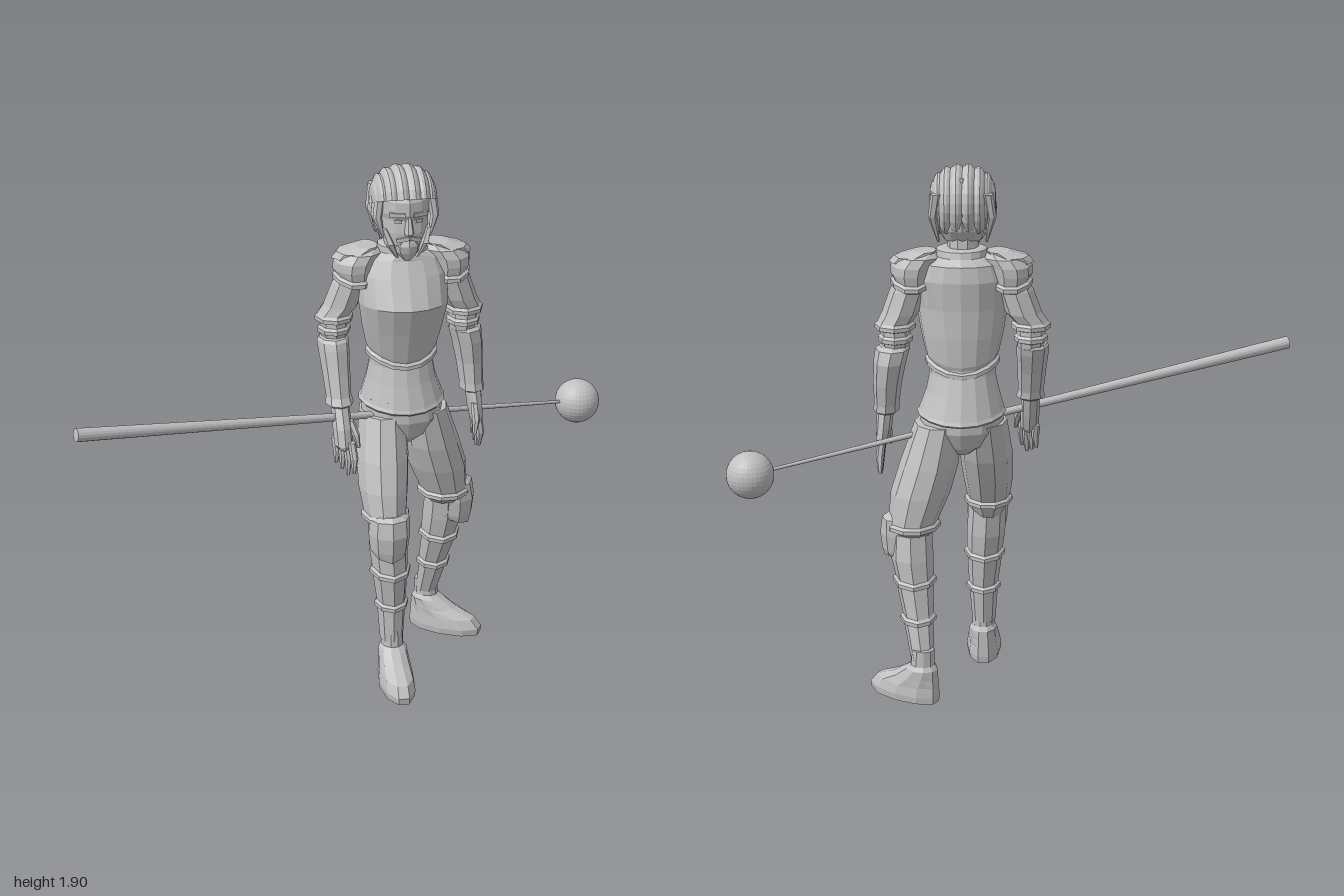
import * as THREE from 'three';

const steel = new THREE.MeshStandardMaterial({ color: 0xc0c0c0, flatShading: true, side: THREE.DoubleSide });
steel.name = 'plain grey';

const CX = 0.185; // middle of the body

// Closed skin over horizontal rings, listed from top to bottom.
// Ring: [y, centre x, centre z, radius x, radius z, dip at front and back]
function loft(name, rings, sides = 8, yaw = 0) {
  const pos = [], index = [], c = Math.cos(yaw), s = Math.sin(yaw);
  for (const [y, x, z, rx, rz, dip = 0] of rings) {
    for (let j = 0; j < sides; j++) {
      const a = (j / sides) * Math.PI * 2;
      const px = rx * Math.cos(a), pz = rz * Math.sin(a);
      pos.push(x + px * c + pz * s, y - dip * Math.sin(a) ** 2, z - px * s + pz * c);
    }
  }
  const last = rings.length - 1, top = pos.length / 3;
  pos.push(rings[0][1], rings[0][0], rings[0][2]);
  pos.push(rings[last][1], rings[last][0], rings[last][2]);
  for (let j = 0; j < sides; j++) {
    const k = (j + 1) % sides, e = last * sides;
    for (let i = 0; i < last; i++) {
      const a = i * sides, b = a + sides;
      index.push(a + j, a + k, b + j, a + k, b + k, b + j);
    }
    index.push(top, k, j, top + 1, e + j, e + k);
  }
  const g = new THREE.BufferGeometry();
  g.setAttribute('position', new THREE.Float32BufferAttribute(pos, 3));
  g.setIndex(index);
  g.computeVertexNormals();
  return mesh(name, g);
}

function mesh(name, geometry, x = 0, y = 0, z = 0) {
  const m = new THREE.Mesh(geometry, steel);
  m.name = name;
  m.position.set(x, y, z);
  return m;
}

// Raised band made of three rings
const rim = (y, x, z, rx, rz, dip = 0, out = 0.009) => [
  [y + 0.013, x, z, rx, rz, dip],
  [y + 0.004, x, z, rx + out, rz + out, dip],
  [y - 0.010, x, z, rx + out, rz + out, dip],
  [y - 0.014, x, z, rx - 0.002, rz - 0.002, dip],
];

// Tapered finger with one bend, between two points
function finger(name, a, b, r) {
  const mid = a.map((v, i) => v * 0.5 + b[i] * 0.5);
  const ring = ([x, y, z], k) => [y, x, z, r * k, r * k];
  return loft(name, [ring(a, 1), ring([mid[0] + 0.004, mid[1], mid[2] + 0.006], 1), ring(b, 0.45)], 6);
}

function makeHead() {
  const g = new THREE.Group();
  g.name = 'head';
  g.add(loft('neck', [[1.68, 0.18, -0.06, 0.052, 0.055], [1.60, 0.18, -0.065, 0.055, 0.058], [1.54, CX, -0.075, 0.075, 0.07]], 10));
  g.add(loft('skull', [
    [1.87, 0.18, -0.05, 0.055, 0.075], [1.80, 0.18, -0.045, 0.092, 0.112], [1.755, 0.18, -0.045, 0.092, 0.115],
    [1.735, 0.18, -0.047, 0.09, 0.107], [1.69, 0.18, -0.04, 0.086, 0.105], [1.65, 0.18, -0.025, 0.072, 0.088],
    [1.615, 0.18, -0.005, 0.045, 0.055],
  ], 12));
  // face details
  g.add(loft('nose', [[1.752, 0.18, 0.055, 0.008, 0.012], [1.695, 0.18, 0.062, 0.017, 0.03], [1.682, 0.18, 0.055, 0.014, 0.02]], 6));
  for (const s of [-1, 1]) {
    const brow = mesh('brow', new THREE.BoxGeometry(0.055, 0.014, 0.022), 0.18 + s * 0.038, 1.758, 0.052);
    brow.rotation.y = s * 0.35;
    const eye = mesh('eye', new THREE.BoxGeometry(0.026, 0.011, 0.008), 0.18 + s * 0.036, 1.733, 0.052);
    eye.rotation.y = s * 0.35;
    g.add(brow, eye);
    const moustache = mesh('moustache', new THREE.BoxGeometry(0.045, 0.013, 0.02), 0.18 + s * 0.02, 1.672, 0.06);
    moustache.rotation.set(0, s * 0.3, -s * 0.25);
    g.add(moustache);
    g.add(loft('ear', [[1.755, 0.18 + s * 0.093, -0.05, 0.01, 0.02], [1.73, 0.18 + s * 0.098, -0.05, 0.012, 0.024], [1.69, 0.18 + s * 0.088, -0.04, 0.008, 0.01]], 6));
    // hair hanging at the temples, behind the ears and along the jaw
    for (const [z, low, r] of [[0.01, 1.67, 0.016], [-0.025, 1.655, 0.016], [-0.085, 1.67, 0.026], [-0.12, 1.65, 0.028]]) {
      g.add(loft('sideLock', [[1.82, 0.18 + s * 0.088, z - 0.01, 0.018, r], [1.74, 0.18 + s * 0.1, z, 0.016, r],
        [low, 0.18 + s * 0.082, z + 0.012, 0.004, 0.005]], 6));
    }
    g.add(loft('jawBeard', [[1.70, 0.18 + s * 0.078, 0.005, 0.012, 0.03], [1.65, 0.18 + s * 0.06, 0.025, 0.018, 0.032], [1.60, 0.18 + s * 0.035, 0.03, 0.006, 0.012]], 6));
  }
  g.add(loft('beard', [[1.665, 0.18, 0.035, 0.028, 0.03], [1.645, 0.18, 0.035, 0.045, 0.036], [1.62, 0.18, 0.035, 0.04, 0.03], [1.59, 0.18, 0.04, 0.012, 0.01]], 8));

  // ridged hair cap: eight locks swept from forehead to nape
  const locks = 8, cols = locks * 4, rows = 14;
  const cap = new THREE.PlaneGeometry(2, 1, cols, rows), p = cap.attributes.position;
  for (let i = 0; i < p.count; i++) {
    const u = p.getX(i), v = p.getY(i) + 0.5;
    const beta = u * 1.5;
    const ridge = 0.93 + 0.09 * Math.abs(Math.sin((u + 1) * 0.5 * locks * Math.PI));
    const phi = 0.32 + v * 3.75;
    const k = Math.cos(beta) ** 0.6 * ridge;
    p.setXYZ(i, 0.18 + 0.113 * Math.sin(beta) * (0.97 + 0.03 * ridge),
      1.775 + 0.128 * Math.sin(phi) * k, -0.045 + 0.124 * Math.cos(phi) * k);
  }
  cap.computeVertexNormals();
  g.add(mesh('hair', cap));
  return g;
}

function makeTorso() {
  const g = new THREE.Group();
  g.name = 'torso';
  g.add(loft('breastplate', [
    [1.625, CX, -0.07, 0.075, 0.07], [1.62, CX, -0.07, 0.088, 0.08], [1.598, CX, -0.072, 0.09, 0.085],
    [1.575, CX, -0.08, 0.14, 0.098], [1.52, CX, -0.07, 0.163, 0.117], [1.42, CX, -0.04, 0.16, 0.14],
    [1.32, CX, -0.058, 0.143, 0.123], [1.25, CX, -0.07, 0.127, 0.106, 0.03], ...rim(1.228, CX, -0.07, 0.122, 0.1, 0.04),
  ], 16));
  g.add(loft('armourSkirt', [
    [1.26, CX, -0.07, 0.112, 0.094], [1.18, CX, -0.075, 0.115, 0.1], [1.12, CX, -0.077, 0.127, 0.117],
    [1.05, CX + 0.004, -0.078, 0.15, 0.143, 0.015], [1.04, CX + 0.004, -0.078, 0.157, 0.149, 0.018],
    [1.03, CX + 0.004, -0.078, 0.15, 0.142, 0.015],
  ], 16));
  g.add(loft('hips', [[1.06, CX, -0.07, 0.14, 0.125], [0.98, CX + 0.005, -0.068, 0.15, 0.125], [0.92, CX + 0.005, -0.065, 0.1, 0.1], [0.885, CX + 0.005, -0.06, 0.04, 0.06]], 12));
  // shoulder plates, two overlapping layers each side
  for (const s of [-1, 1]) {
    const x = (d) => CX + s * d;
    g.add(loft('shoulderPlate', [
      [1.61, x(0.12), -0.08, 0.035, 0.05], [1.595, x(0.145), -0.08, 0.075, 0.078], [1.565, x(0.165), -0.08, 0.078, 0.088],
      [1.535, x(0.17), -0.08, 0.074, 0.088], ...rim(1.51, x(0.168), -0.08, 0.068, 0.082, 0.02),
    ], 10));
    g.add(loft('shoulderCap', [[1.615, x(0.125), -0.08, 0.04, 0.055], [1.597, x(0.16), -0.08, 0.072, 0.07], [1.575, x(0.175), -0.08, 0.075, 0.06]], 8));
  }
  return g;
}

function makeArm(name, upper, elbow, fore, palm, fingers) {
  const g = new THREE.Group();
  g.name = name;
  const [ey, ...e] = elbow;
  g.add(loft('upperArm', [...upper, ...rim(ey + 0.02, ...e)], 8));
  g.add(loft('elbow', [[ey + 0.02, e[0], e[1], e[2] - 0.012, e[3] - 0.012], ...rim(ey - 0.025, e[0], e[1], e[2] - 0.01, e[3] - 0.01), [ey - 0.06, e[0], e[1], e[2] - 0.015, e[3] - 0.015]], 8));
  g.add(loft('forearm', fore, 8));
  g.add(loft('palm', palm, 8));
  for (const [a, b] of fingers) g.add(finger('finger', a, b, 0.014));
  return g;
}

function makeLeg(name, thigh, cuff, greave, knee, foot) {
  const g = new THREE.Group();
  g.name = name;
  g.add(loft('thigh', [...thigh, ...rim(...cuff), [0.6, cuff[1], cuff[2], cuff[3] - 0.025, cuff[4] - 0.025]], 10));
  const [a, b, c, d, e] = greave;
  g.add(loft('greave', [a, b, ...rim(...c, 0.012), ...rim(...d, 0.01), e], 8));
  const [kx, kz, kyaw] = knee;
  g.add(loft('kneeGuard', [
    [0.675, kx, kz, 0.05, 0.045], [0.66, kx, kz, 0.073, 0.062], [0.60, kx, kz, 0.076, 0.075],
    [0.54, kx, kz, 0.07, 0.068], [0.525, kx, kz, 0.062, 0.058, 0.025], [0.515, kx, kz, 0.04, 0.04, 0.02],
  ], 8, kyaw));
  // shoe with pointed toe, modelled facing forward
  const shoe = loft('shoe', [
    [0.20, 0, 0, 0.04, 0.042], [0.14, 0, 0.003, 0.041, 0.046], [0.125, 0, 0.008, 0.052, 0.062], [0.09, 0, 0.035, 0.056, 0.092],
    [0.06, 0, 0.07, 0.06, 0.13], [0.025, 0, 0.083, 0.065, 0.146], [0, 0, 0.083, 0.062, 0.143],
  ], 10);
  shoe.position.set(foot[0], 0, foot[1]);
  shoe.rotation.y = foot[2];
  g.add(shoe);
  return g;
}

function makeStaff() {
  const g = new THREE.Group();
  g.name = 'staff';
  const a = new THREE.Vector3(-0.995, 1.165, 0.343), b = new THREE.Vector3(0.912, 0.87, -0.287);
  const pole = mesh('pole', new THREE.CylinderGeometry(0.005, 0.023, a.distanceTo(b), 16));
  pole.position.copy(a).lerp(b, 0.5);
  pole.quaternion.setFromUnitVectors(new THREE.Vector3(0, 1, 0), b.clone().sub(a).normalize());
  g.add(pole, mesh('ball', new THREE.SphereGeometry(0.083, 32, 16), b.x, b.y, b.z));
  return g;
}

export function createModel() {
  const model = new THREE.Group();
  model.name = 'armouredFigure';
  const four = [0, 1, 2, 3];
  model.add(makeHead(), makeTorso(), makeStaff());

  model.add(makeArm('rightArm',
    [[1.56, 0.04, -0.08, 0.055, 0.06], [1.48, 0.0, -0.088, 0.062, 0.07], [1.40, -0.028, -0.092, 0.064, 0.07]],
    [1.335, -0.053, -0.092, 0.06, 0.066],
    [[1.285, -0.06, -0.08, 0.05, 0.06], [1.275, -0.06, -0.078, 0.057, 0.07], [1.25, -0.059, -0.068, 0.056, 0.07],
      [1.17, -0.056, -0.035, 0.05, 0.056], [1.09, -0.053, -0.005, 0.045, 0.05], [1.065, -0.052, 0.005, 0.051, 0.055], [1.055, -0.052, 0.01, 0.035, 0.04]],
    [[1.07, -0.052, 0.008, 0.033, 0.038], [0.99, -0.05, 0.045, 0.034, 0.045], [0.93, -0.048, 0.068, 0.033, 0.038], [0.915, -0.048, 0.07, 0.02, 0.03]],
    [...four.map((i) => [[-0.025 - i * 0.016, 0.945, 0.095 - i * 0.02], [-0.022 - i * 0.017, 0.825 + Math.abs(i - 1) * 0.015, 0.125 - i * 0.024]]),
      [[-0.022, 1.01, 0.045], [0.002, 0.92, 0.085]]]));

  model.add(makeArm('leftArm',
    [[1.56, 0.33, -0.08, 0.055, 0.06], [1.48, 0.37, -0.088, 0.062, 0.07], [1.40, 0.397, -0.095, 0.064, 0.072]],
    [1.335, 0.415, -0.1, 0.062, 0.07],
    [[1.285, 0.423, -0.108, 0.05, 0.06], [1.275, 0.425, -0.11, 0.06, 0.076], [1.23, 0.435, -0.115, 0.057, 0.082],
      [1.15, 0.445, -0.11, 0.05, 0.068], [1.07, 0.45, -0.097, 0.044, 0.058], [1.045, 0.452, -0.093, 0.046, 0.06], [1.035, 0.452, -0.092, 0.03, 0.04]],
    [[1.05, 0.455, -0.09, 0.03, 0.042], [0.98, 0.462, -0.086, 0.028, 0.055], [0.93, 0.468, -0.086, 0.023, 0.058], [0.915, 0.468, -0.086, 0.015, 0.045]],
    [...four.map((i) => [[0.468, 0.94, -0.043 - i * 0.03], [0.474, 0.81 + Math.abs(i - 1.4) * 0.014, -0.05 - i * 0.037]]),
      [[0.452, 1.0, -0.045], [0.445, 0.89, -0.005]]]));

  model.add(makeLeg('rightLeg',
    [[1.0, 0.115, -0.06, 0.085, 0.11], [0.85, 0.105, 0.0, 0.095, 0.117], [0.75, 0.1, 0.045, 0.09, 0.11]],
    [0.655, 0.1, 0.078, 0.078, 0.098],
    [[0.62, 0.105, 0.085, 0.068, 0.08], [0.52, 0.11, 0.092, 0.07, 0.084], [0.44, 0.115, 0.1, 0.066, 0.076], [0.305, 0.12, 0.102, 0.054, 0.055], [0.16, 0.12, 0.112, 0.043, 0.046]],
    [0.105, 0.132, 0], [0.122, 0.112, 0]));

  model.add(makeLeg('leftLeg',
    [[1.0, 0.27, -0.08, 0.085, 0.11], [0.85, 0.305, -0.1, 0.104, 0.117], [0.75, 0.335, -0.115, 0.106, 0.114]],
    [0.635, 0.362, -0.13, 0.088, 0.1],
    [[0.61, 0.367, -0.14, 0.072, 0.08], [0.52, 0.367, -0.155, 0.076, 0.083], [0.44, 0.358, -0.168, 0.068, 0.075], [0.305, 0.345, -0.2, 0.055, 0.055], [0.16, 0.33, -0.24, 0.042, 0.043]],
    [0.405, -0.125, 0.85], [0.328, -0.245, 1.0]));

  return model;
}
